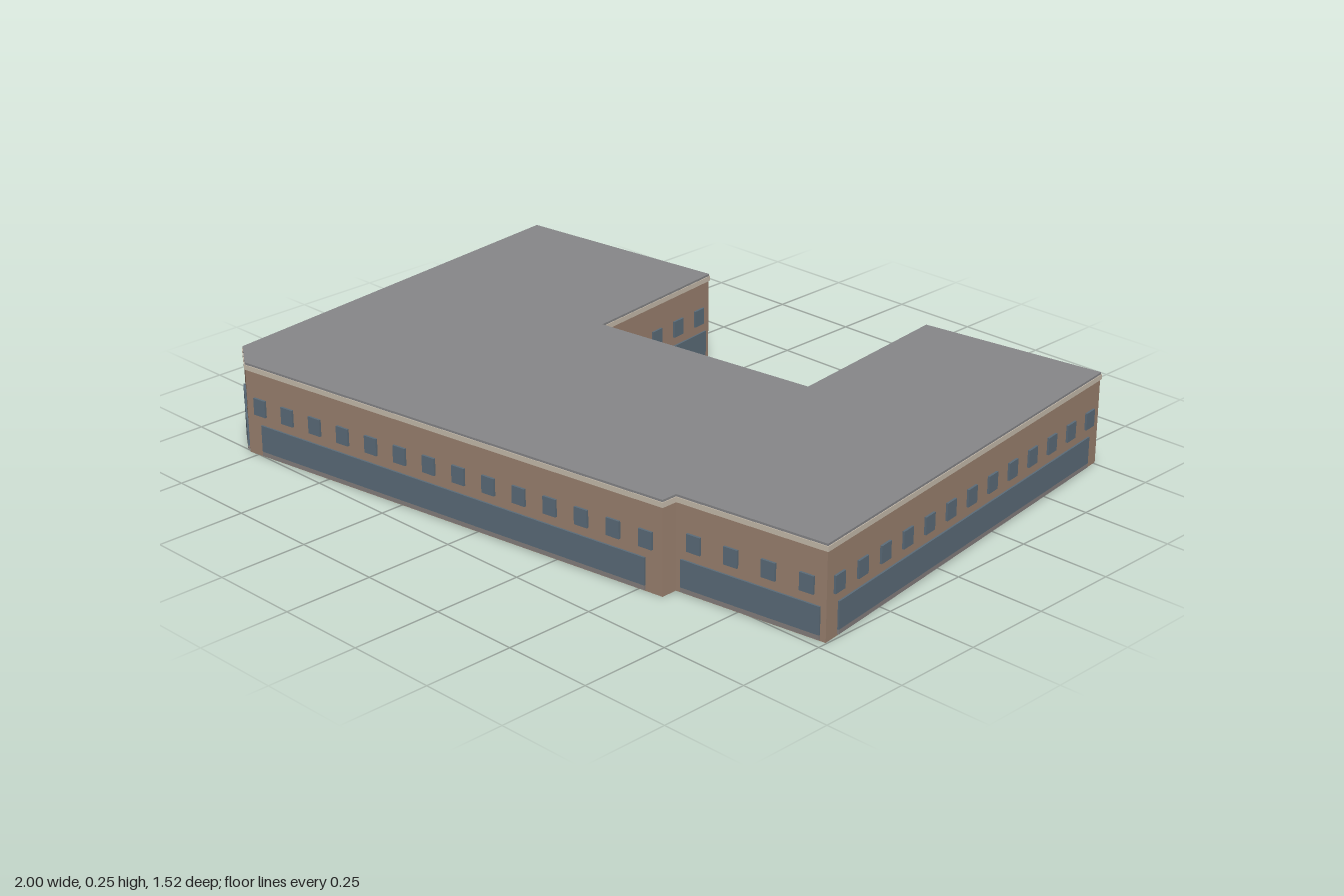
import * as THREE from 'three';

// Footprint corners as [x, z], ordered so the outside lies to the left of travel
const FOOTPRINT = [
  [-1, -0.48], [-0.37, -0.55], [-0.312, -0.08], [0.363, -0.157], [0.305, -0.69], [0.832, -0.758],
  [0.997, 0.473], [0.57, 0.53], [0.57, 0.575], [-0.78, 0.755], [-0.87, 0.692],
];

const flat = (name, color) => {
  const m = new THREE.MeshStandardMaterial({ color });
  m.name = name;
  return m;
};

// Push every side of the footprint outward by d
function offset(points, d) {
  const n = points.length;
  const normal = (a, b) => new THREE.Vector2(b[1] - a[1], a[0] - b[0]).normalize();
  return points.map((p, i) => {
    const n1 = normal(points[(i + n - 1) % n], p);
    const n2 = normal(p, points[(i + 1) % n]);
    const k = d / (1 + n1.dot(n2));
    return [p[0] + (n1.x + n2.x) * k, p[1] + (n1.y + n2.y) * k];
  });
}

// Upright slab of the footprint between two heights
function slab(name, material, d, y0, y1) {
  const shape = new THREE.Shape(offset(FOOTPRINT, d).map(([x, z]) => new THREE.Vector2(x, -z)));
  const geo = new THREE.ExtrudeGeometry(shape, { depth: y1 - y0, bevelEnabled: false });
  geo.rotateX(-Math.PI / 2);
  const mesh = new THREE.Mesh(geo, material);
  mesh.name = name;
  mesh.position.y = y0;
  return mesh;
}

export function createModel() {
  const brick = flat('brick', 0x9c8270);
  const glass = flat('glass', 0x5c6d7a);
  const trim = flat('trim', 0xc9beae);
  const roof = flat('roof', 0x88888a);
  const sill = flat('sill', 0x86807f);

  const building = new THREE.Group();
  building.name = 'building';
  building.add(
    slab('walls', brick, 0, 0, 0.235),
    slab('cornice', trim, 0.003, 0.235, 0.249),
    slab('roof', roof, 0.001, 0.249, 0.255),
  );

  // Each facade gets a shopfront with a sill below and a row of windows above
  FOOTPRINT.forEach(([ax, az], i) => {
    const [bx, bz] = FOOTPRINT[(i + 1) % FOOTPRINT.length];
    const length = Math.hypot(bx - ax, bz - az);
    const count = Math.round(length / 0.099);
    if (count === 0) return;

    const facade = new THREE.Group();
    facade.name = 'facade' + (i + 1);
    facade.position.set((ax + bx) / 2, 0, (az + bz) / 2);
    facade.rotation.y = Math.atan2(bz - az, ax - bx);
    building.add(facade);

    const plate = (name, material, x, y0, y1, width, depth) => {
      const mesh = new THREE.Mesh(new THREE.BoxGeometry(width, y1 - y0, depth), material);
      mesh.name = name;
      mesh.position.set(x, (y0 + y1) / 2, depth / 2);
      facade.add(mesh);
    };
    plate('shopfront', glass, 0, 0.016, 0.09, length * 0.925, 0.005);
    plate('shopfrontSill', sill, 0, 0.004, 0.016, length * 0.925, 0.005);
    for (let k = 0; k < count; k++) {
      plate('window', glass, ((k + 0.5) / count - 0.5) * length, 0.116, 0.163, 0.04, 0.006);
    }
  });
  return building;
}
